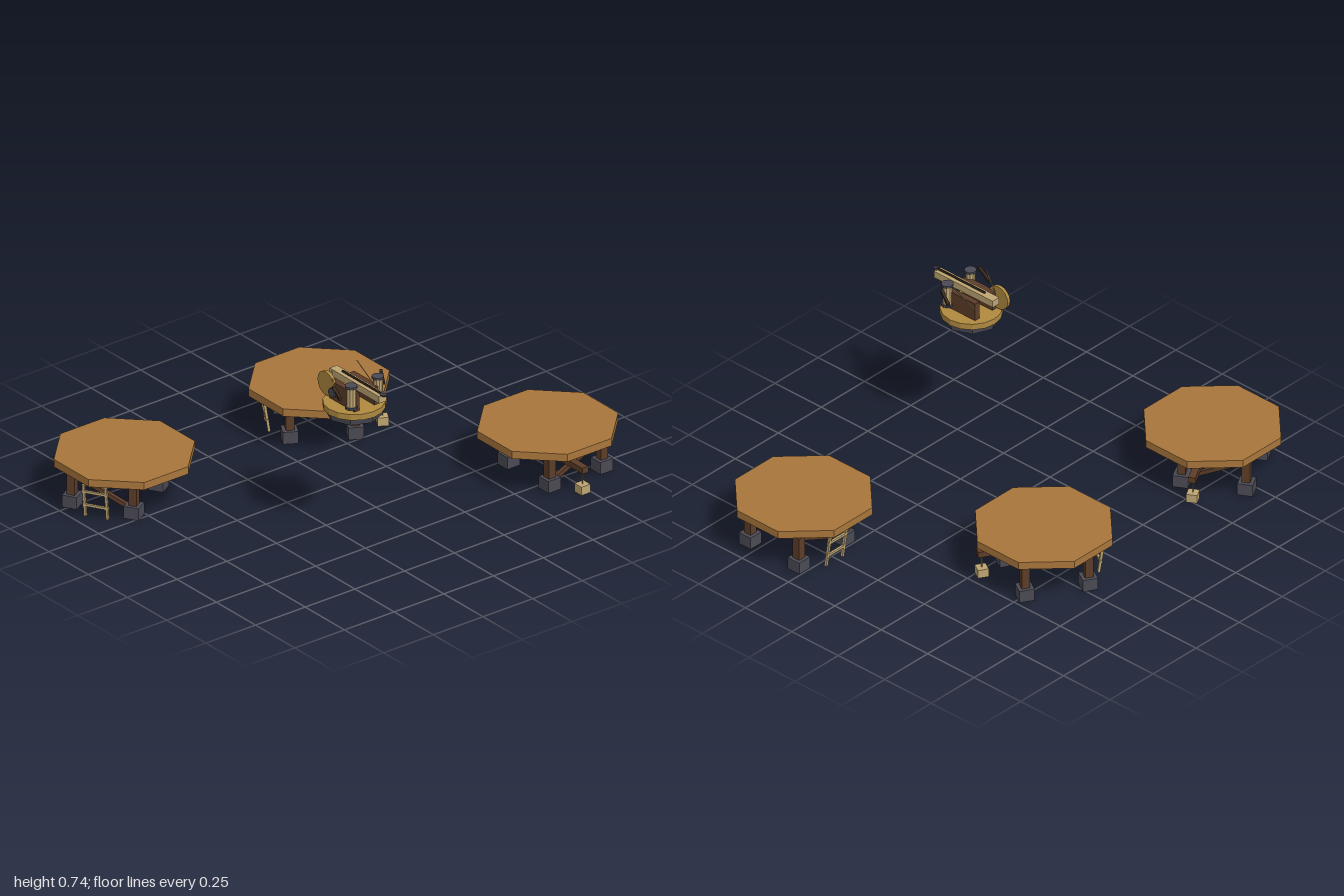
import * as THREE from 'three';

const mat = (color) => new THREE.MeshStandardMaterial({ color, flatShading: true });
const DECK = mat(0xa9763c), WOOD = mat(0x5c3d28), STONE = mat(0x4b4a55);
const PALE = mat(0xbfa673), GOLD = mat(0xb08a40), DARK = mat(0x3a2a20);

function add(parent, name, geometry, material, x = 0, y = 0, z = 0) {
  const mesh = new THREE.Mesh(geometry, material);
  mesh.name = name;
  mesh.position.set(x, y, z);
  parent.add(mesh);
  return mesh;
}

const box = (w, h, d) => new THREE.BoxGeometry(w, h, d);
const cyl = (top, bottom, h, sides) => new THREE.CylinderGeometry(top, bottom, h, sides);

// Square bar between two points
function bar(parent, name, a, b, size, material) {
  const from = new THREE.Vector3(...a), to = new THREE.Vector3(...b);
  const mesh = add(parent, name, box(size, size, from.distanceTo(to)), material);
  mesh.position.copy(from).add(to).multiplyScalar(0.5);
  mesh.lookAt(to);
  return mesh;
}

// Legs, braces, ladder and hoist that stand below a deck
function createSupports() {
  const g = new THREE.Group();
  g.name = 'supports';
  const mid = -0.038, s = 0.131;
  for (const sx of [-1, 1]) {
    for (const sz of [-1, 1]) {
      add(g, 'foot', box(0.063, 0.053, 0.063), STONE, sx * s, 0.0265, mid + sz * s);
      add(g, 'post', box(0.034, 0.1, 0.034), WOOD, sx * s, 0.103, mid + sz * s);
    }
    bar(g, 'brace', [sx * s, 0.03, mid + s], [sx * s, 0.145, mid - s], 0.018, WOOD);
  }
  // Leaning ladder
  for (const sz of [-1, 1]) {
    const z = mid + sz * 0.047;
    bar(g, 'ladderRail', [-0.2, 0.003, z], [-0.222, 0.152, z], 0.011, PALE);
  }
  for (const y of [0.055, 0.118]) {
    add(g, 'ladderRung', box(0.01, 0.01, 0.11), PALE, -0.2 - 0.148 * y, y, mid);
  }
  // Hoist arm with hanging crate
  add(g, 'hoistArm', box(0.15, 0.026, 0.03), WOOD, 0.194, 0.114, 0.022);
  add(g, 'hoistRope', cyl(0.0025, 0.0025, 0.058, 6), PALE, 0.25, 0.074, 0.022);
  add(g, 'crate', box(0.045, 0.037, 0.045), PALE, 0.25, 0.0285, 0.022);
  return g;
}

function createPlatform(x, z, turn) {
  const g = new THREE.Group();
  g.name = 'platform';
  g.position.set(x, 0, z);
  const deck = cyl(0.2895, 0.2895, 0.033, 8).rotateY(Math.PI / 8);
  add(g, 'deck', deck, DECK, 0, 0.1965, 0);
  const supports = createSupports();
  supports.rotation.y = turn;
  g.add(supports);
  return g;
}

// Bolt thrower on a round turntable, aimed along +x
function createBoltThrower() {
  const g = new THREE.Group();
  g.name = 'boltThrower';
  g.position.set(0.4175, 0, 0.2425);
  add(g, 'base', cyl(0.12, 0.114, 0.028, 8), STONE, 0, 0.582, 0);
  add(g, 'turntable', cyl(0.125, 0.125, 0.026, 16), GOLD, 0, 0.609, 0);
  add(g, 'slide', box(0.317, 0.03, 0.038), PALE, 0.026, 0.703, 0);

  // Bolt
  add(g, 'boltShaft', cyl(0.005, 0.005, 0.26, 6).rotateZ(Math.PI / 2), DARK, 0.057, 0.723, 0);
  add(g, 'boltHead', cyl(0, 0.012, 0.035, 6).rotateZ(-Math.PI / 2), STONE, 0.197, 0.723, 0);

  for (const s of [-1, 1]) {
    add(g, 'cheek', box(0.16, 0.08, 0.025), WOOD, 0.002, 0.661, s * 0.05);
    // Torsion drum with two caps
    add(g, 'drum', cyl(0.02, 0.02, 0.09, 10), PALE, 0.067, 0.686, s * 0.067);
    for (const y of [0.64, 0.732]) {
      add(g, 'drumCap', cyl(0.025, 0.025, 0.01, 10), STONE, 0.067, y, s * 0.067);
    }
    // Bow arm and string
    bar(g, 'bowArm', [0.065, 0.7, s * 0.07], [0.005, 0.708, s * 0.158], 0.012, DARK);
    bar(g, 'bowString', [0.005, 0.708, s * 0.156], [-0.075, 0.723, 0], 0.003, PALE);
  }

  // Winding wheel and its small drum on the left cheek
  add(g, 'wheel', cyl(0.052, 0.052, 0.014, 16).rotateX(Math.PI / 2), GOLD, -0.0935, 0.681, 0.062);
  add(g, 'winchDrum', cyl(0.02, 0.02, 0.03, 10).rotateX(Math.PI / 2), STONE, -0.042, 0.663, 0.067);
  return g;
}

export function createModel() {
  const model = new THREE.Group();
  model.name = 'platformsWithBoltThrower';
  const sites = [[0.4175, -0.7315], [-0.4275, -0.2475], [-0.4275, 0.7315]];
  sites.forEach(([x, z], i) => model.add(createPlatform(x, z, i * Math.PI / 3)));
  model.add(createBoltThrower());
  return model;
}
